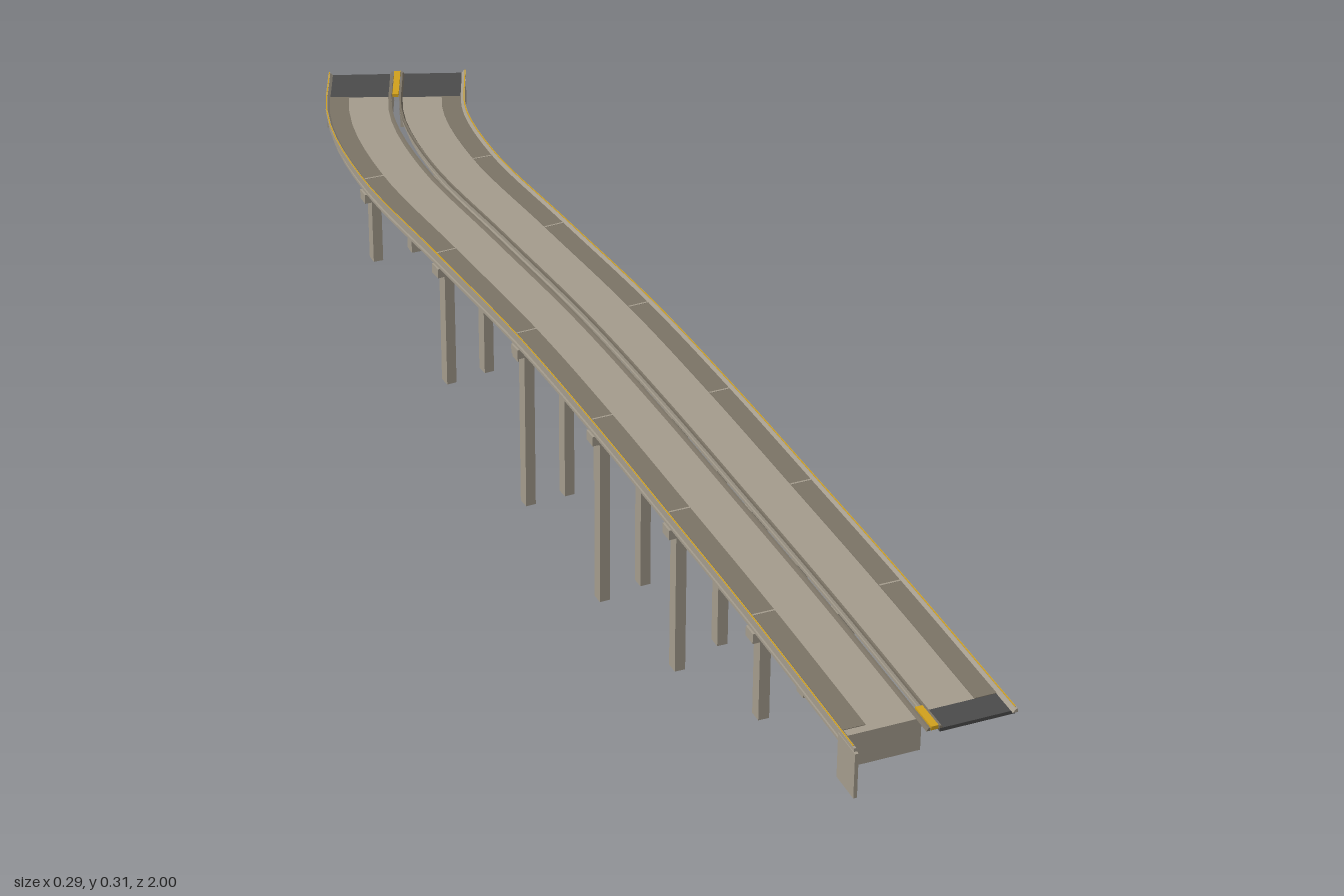
import * as THREE from 'three';

const mat = (name, color) => {
  const m = new THREE.MeshStandardMaterial({ color });
  m.name = name;
  return m;
};

export function createModel() {
  const concrete = mat('concrete', 0xa39b8c);
  const shoulder = mat('shoulder', 0x7b7365);
  const asphalt = mat('asphalt', 0x4a4a4a);
  const yellow = mat('yellow', 0xd0a01c);
  const model = new THREE.Group();
  model.name = 'bridge';

  // Centre line of the road, running from the front to the back
  const path = new THREE.CatmullRomCurve3([
    [0.031, 1], [0.031, 0.68], [0.027, 0.415], [0.022, 0.155], [0.011, -0.11],
    [-0.013, -0.38], [-0.035, -0.635], [-0.021, -0.82], [0.03, -0.963],
  ].map(([x, z]) => new THREE.Vector3(x, 0, z)));

  // Curve parameter at a given z
  const paramAt = (z) => {
    let lo = 0, hi = 1;
    for (let i = 0; i < 30; i++) {
      const mid = (lo + hi) / 2;
      if (path.getPoint(mid).z > z) lo = mid; else hi = mid;
    }
    return (lo + hi) / 2;
  };
  const roadY = (z) => 0.2985 - 0.0035 * z;

  // Position and sideways direction at a given z
  const frameAt = (z) => {
    const u = paramAt(z);
    const t = path.getTangent(u);
    return { p: path.getPoint(u), right: new THREE.Vector3(-t.z, 0, t.x) };
  };

  // Sweeps a convex counterclockwise section [offset, height above road] along the road
  function sweep(name, material, section, zStart, zEnd) {
    const steps = Math.max(1, Math.ceil((zStart - zEnd) / 0.04));
    const rings = [];
    for (let i = 0; i <= steps; i++) {
      const z = zStart + (zEnd - zStart) * i / steps;
      const { p, right } = frameAt(z);
      rings.push(section.map(([o, h]) => p.clone().addScaledVector(right, o).setY(roadY(z) + h)));
    }
    const pts = [], n = section.length;
    for (let i = 0; i < steps; i++) {
      const f = rings[i], b = rings[i + 1];
      for (let j = 0; j < n; j++) {
        const k = (j + 1) % n;
        pts.push(f[j], b[j], b[k], f[j], b[k], f[k]);
      }
    }
    const first = rings[0], last = rings[steps];
    for (let j = 1; j < n - 1; j++) {
      pts.push(first[0], first[j], first[j + 1], last[0], last[j + 1], last[j]);
    }
    const geo = new THREE.BufferGeometry().setFromPoints(pts);
    geo.computeVertexNormals();
    const mesh = new THREE.Mesh(geo, material);
    mesh.name = name;
    model.add(mesh);
  }
  const rect = (a, b, low, high) => [[a, low], [b, low], [b, high], [a, high]];

  // Box aligned to the road; y values are absolute
  function block(name, offset, z, width, depth, yLow, yHigh) {
    const { p, right } = frameAt(z);
    const mesh = new THREE.Mesh(new THREE.BoxGeometry(width, yHigh - yLow, depth), concrete);
    mesh.position.copy(p).addScaledVector(right, offset).setY((yLow + yHigh) / 2);
    mesh.rotation.y = Math.atan2(-right.z, right.x);
    mesh.name = name;
    model.add(mesh);
  }

  const backJoint = -0.885, backEnd = -0.963, frontJoint = 0.95;
  const piers = [
    [0.68, [0.137, 0.155, 0.17, 0.2]],
    [0.415, [0.045, 0.07, 0.097, 0.135]],
    [0.155, [0, 0.01, 0.022, 0.04]],
    [-0.11, [0.01, 0.01, 0.013, 0.027]],
    [-0.38, [0.077, 0.08, 0.085, 0.093]],
    [-0.635, [0.16, 0.163, 0.166, 0.17]],
  ];

  for (const side of [-1, 1]) {
    const span = (a, b, low, high) =>
      (side > 0 ? rect(a, b, low, high) : rect(-b, -a, low, high));

    // Deck, outer shoulder and approach slabs
    sweep('deck', concrete, span(0.007, 0.11, -0.007, 0), frontJoint, backJoint);
    sweep('shoulder', shoulder, span(0.074, 0.106, 0, 0.0008), frontJoint, backJoint);
    sweep('backApproachSlab', asphalt, span(0.007, 0.11, -0.005, 0), backJoint, backEnd);

    // Barriers with a sloped inner face, and the yellow edge line
    const outer = [[0.104, 0], [0.111, 0], [0.111, 0.005], [0.108, 0.005]];
    const inner = [[0.006, 0], [0.0115, 0], [0.009, 0.004], [0.006, 0.004]];
    const flip = (s) => (side > 0 ? s : s.map(([x, y]) => [-x, y]).reverse());
    sweep('outerBarrier', concrete, flip(outer), 0.995, backEnd);
    sweep('innerBarrier', shoulder, flip(inner), 0.99, backEnd);
    sweep('edgeLine', yellow, span(0.1087, 0.1103, 0.005, 0.0056), 0.99, backEnd);

    // Girders: web and bottom flange
    for (let i = 0; i < 5; i++) {
      const c = 0.017 + i * 0.021;
      sweep('girderWeb', concrete, span(c - 0.002, c + 0.002, -0.017, -0.007), frontJoint, backJoint);
      sweep('girderFlange', concrete, span(c - 0.005, c + 0.005, -0.021, -0.017), frontJoint, backJoint);
    }

    // Deck joints over the piers
    for (const [z] of piers) {
      sweep('deckJoint', concrete, span(0.074, 0.106, 0.0008, 0.0012), z + 0.0015, z - 0.0015);
    }

    // Back abutment wall with wing walls
    sweep('backAbutmentWall', concrete, span(0.007, 0.11, -0.05, -0.005), backJoint + 0.006, backJoint - 0.004);
    sweep('outerWingWall', concrete, span(0.106, 0.111, -0.042, 0), backJoint, backEnd + 0.012);
    sweep('innerWingWall', concrete, span(0.006, 0.01, -0.042, 0), backJoint, backEnd + 0.012);
  }

  // Yellow ends of the median
  sweep('medianEnd', yellow, rect(-0.005, 0.005, 0, 0.0055), 0.99, 0.945);
  sweep('medianEnd', yellow, rect(-0.005, 0.005, 0, 0.0055), backJoint, backEnd);

  // Front end: slab on one side, abutment and wing wall on the other
  sweep('frontApproachSlab', asphalt, rect(0.007, 0.11, -0.005, 0), 0.99, frontJoint);
  sweep('frontAbutmentWall', concrete, rect(-0.11, -0.004, -0.048, 0), 0.962, 0.95);
  sweep('frontWingWall', concrete, rect(-0.112, -0.107, -0.066, 0), 1, 0.952);

  // Piers: a cap beam under each deck and two columns each
  for (const [z, bottoms] of piers) {
    const top = roadY(z) - 0.021;
    for (const side of [-1, 1]) block('pierCap', side * 0.058, z, 0.102, 0.022, top - 0.015, top);
    [-0.09, -0.027, 0.029, 0.091].forEach((offset, i) =>
      block('pierColumn', offset, z, 0.0155, 0.019, bottoms[i], top - 0.015));
  }
  return model;
}
